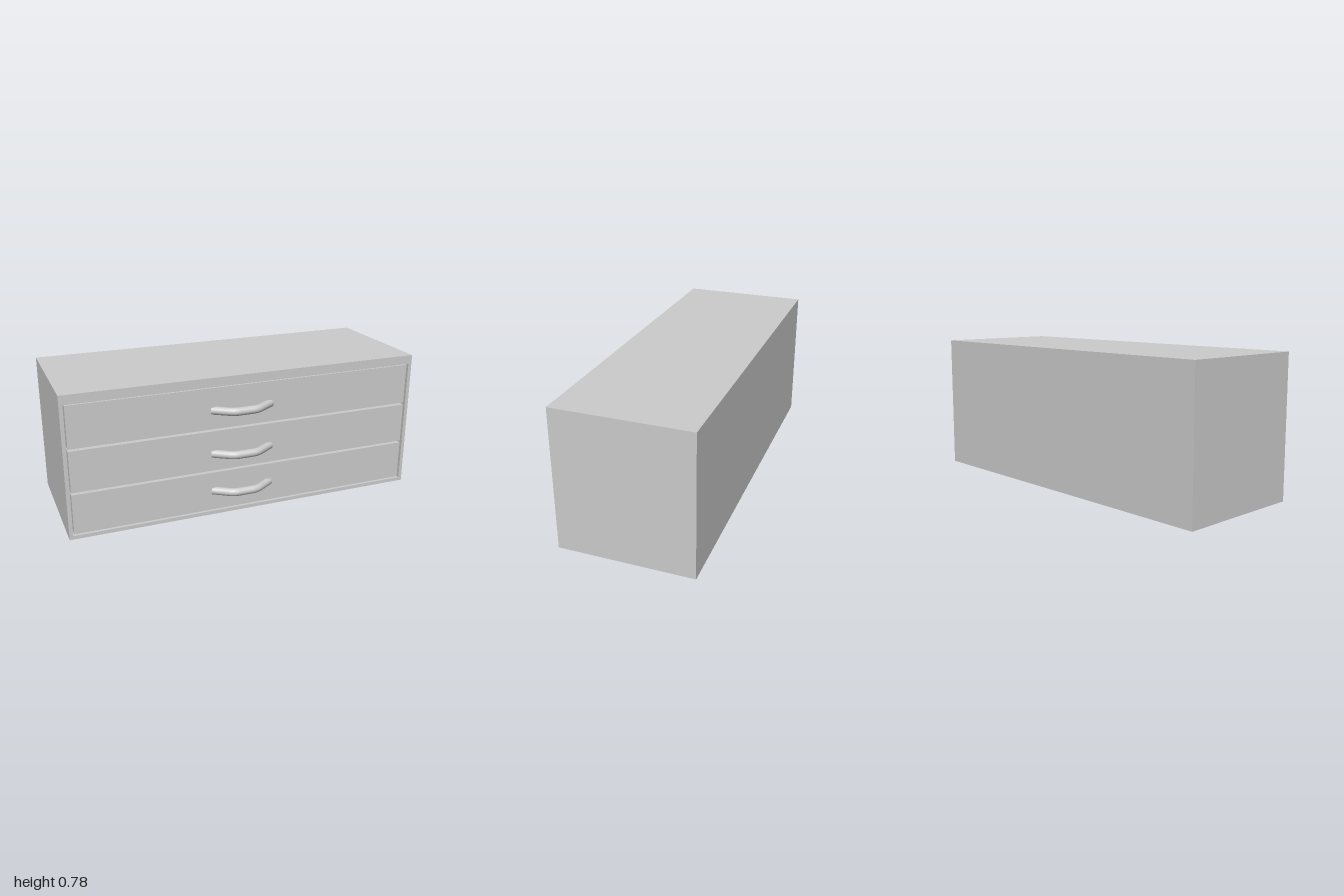
import * as THREE from 'three';

const mat = new THREE.MeshStandardMaterial({ color: 0xcccccc });

function add(parent, name, geometry, x = 0, y = 0, z = 0) {
  const mesh = new THREE.Mesh(geometry, mat);
  mesh.name = name;
  mesh.position.set(x, y, z);
  parent.add(mesh);
  return mesh;
}

// Rectangle outline used for the cabinet shell and its opening
function rect(PathType, x0, y0, x1, y1) {
  return new PathType([
    new THREE.Vector2(x0, y0), new THREE.Vector2(x1, y0),
    new THREE.Vector2(x1, y1), new THREE.Vector2(x0, y1),
  ]);
}

// Bowed pull: straight grip, sloping legs, slightly rounded bends
function handleGeometry() {
  const v = (x, z) => new THREE.Vector3(x, 0, z);
  const path = new THREE.CurvePath();
  path.add(new THREE.LineCurve3(v(-0.168, -0.02), v(-0.09, 0.032)));
  path.add(new THREE.QuadraticBezierCurve3(v(-0.09, 0.032), v(-0.065, 0.048), v(-0.04, 0.048)));
  path.add(new THREE.LineCurve3(v(-0.04, 0.048), v(0.04, 0.048)));
  path.add(new THREE.QuadraticBezierCurve3(v(0.04, 0.048), v(0.065, 0.048), v(0.09, 0.032)));
  path.add(new THREE.LineCurve3(v(0.09, 0.032), v(0.168, -0.02)));
  return new THREE.TubeGeometry(path, 48, 0.022, 20, false);
}

export function createModel() {
  const model = new THREE.Group();
  model.name = 'chestOfDrawers';
  const front = 0.33, back = -0.4, backThickness = 0.02;

  // Cabinet shell, open at the front
  const outline = rect(THREE.Shape, -1, 0, 1, 0.78);
  outline.holes.push(rect(THREE.Path, -0.98, 0.02, 0.98, 0.73));
  add(model, 'cabinetShell', new THREE.ExtrudeGeometry(outline, {
    depth: front - back - backThickness, bevelEnabled: false,
  }), 0, 0, back + backThickness);
  add(model, 'backPanel', new THREE.BoxGeometry(2, 0.78, backThickness),
    0, 0.39, back + backThickness / 2);

  // Drawers set just inside the opening, each with a handle
  const drawers = [
    { bottom: 0.025, top: 0.245, handle: 0.134 },
    { bottom: 0.257, top: 0.483, handle: 0.352 },
    { bottom: 0.495, top: 0.723, handle: 0.597 },
  ];
  const handle = handleGeometry();
  const depth = 0.68, face = front - 0.008;
  for (const d of drawers) {
    const drawer = new THREE.Group();
    drawer.name = 'drawer';
    model.add(drawer);
    add(drawer, 'drawerBox', new THREE.BoxGeometry(1.946, d.top - d.bottom, depth),
      0, (d.top + d.bottom) / 2, face - depth / 2);
    add(drawer, 'handle', handle, -0.042, d.handle, front);
  }
  return model;
}
